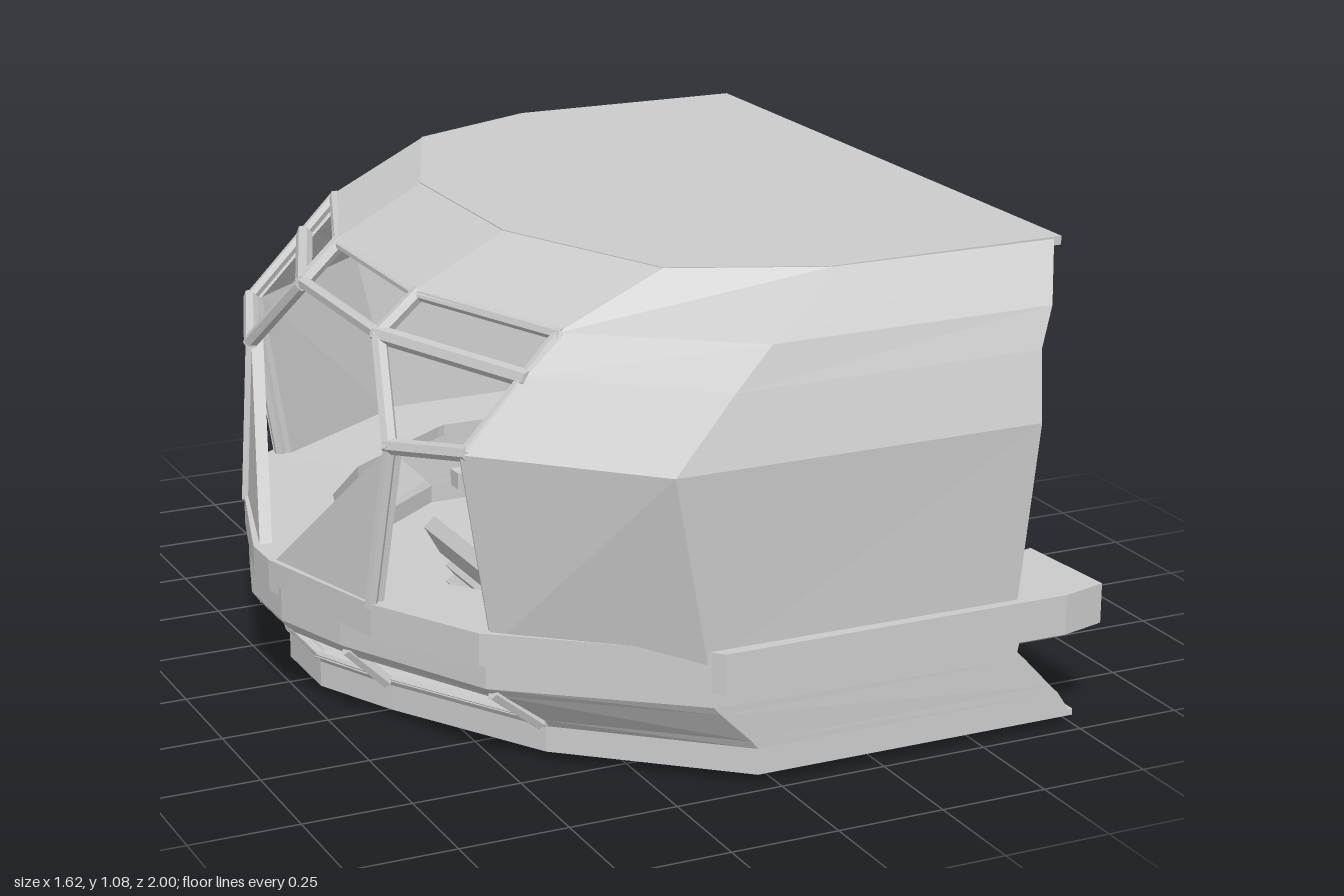
import * as THREE from 'three';

const grey = new THREE.MeshStandardMaterial({ color: 0xcccccc, flatShading: true, side: THREE.DoubleSide });

function add(parent, name, geometry) {
  const mesh = new THREE.Mesh(geometry, grey);
  mesh.name = name;
  parent.add(mesh);
  return mesh;
}

// Skin between cross-sections (arrays of [x, y, z]); each section is a closed loop unless closed = false
function skin(rows, { closed = true, caps = false, skip = () => false } = {}) {
  const pos = [];
  const tri = (a, b, c) => pos.push(...a, ...b, ...c);
  for (let r = 0; r < rows.length - 1; r++) {
    const n = rows[r].length;
    for (let i = 0; i < (closed ? n : n - 1); i++) {
      if (skip(r, i)) continue;
      const j = (i + 1) % n;
      const [a, b, c, d] = [rows[r][i], rows[r][j], rows[r + 1][j], rows[r + 1][i]];
      tri(a, b, c);
      tri(a, c, d);
    }
  }
  if (caps) {
    const first = rows[0], last = rows[rows.length - 1];
    for (let i = 1; i < first.length - 1; i++) {
      tri(first[0], first[i + 1], first[i]);
      tri(last[0], last[i], last[i + 1]);
    }
  }
  const g = new THREE.BufferGeometry();
  g.setAttribute('position', new THREE.Float32BufferAttribute(pos, 3));
  g.computeVertexNormals();
  return g;
}

// Half plan [x, z] from nose to rear, mirrored into a full path from the -z rear to the +z rear
const fullPath = (half) => [...half.map(([x, z]) => [x, -z]).reverse(), ...half];
const atY = (path, y) => path.map(([x, z]) => [x, y, z]);

// Horizontal plate from a half plan
function plate(half, y, depth) {
  const shape = new THREE.Shape(fullPath(half).map(([x, z]) => new THREE.Vector2(x, -z)));
  const g = new THREE.ExtrudeGeometry(shape, { depth, bevelEnabled: false });
  return g.rotateX(-Math.PI / 2).translate(0, y, 0);
}

// Straight window bar between two points
function bar(parent, name, a, b, radius = 0.018) {
  const p = new THREE.Vector3(...a), q = new THREE.Vector3(...b);
  const m = add(parent, name, new THREE.CylinderGeometry(radius, radius, p.distanceTo(q) + radius, 6));
  m.position.copy(p).lerp(q, 0.5);
  m.quaternion.setFromUnitVectors(new THREE.Vector3(0, 1, 0), q.sub(p).normalize());
}

// Block from rectangular sections [y, xMin, xMax, halfWidth]
const block = (sections) => skin(
  sections.map(([y, x0, x1, w]) => [[x0, y, w], [x1, y, w], [x1, y, -w], [x0, y, -w]]), { caps: true });

export function createModel() {
  const model = new THREE.Group();
  model.name = 'cockpit';

  // Side walls: front edge, corner and rear edge at each height, with an inner face
  const wall = [
    { y: 0.29, p: [[-0.53, 0.67], [-0.165, 0.97], [0.585, 0.975]] },
    { y: 0.73, p: [[-0.6, 0.67], [-0.26, 1.0], [0.62, 0.995]] },
    { y: 0.88, p: [[-0.455, 0.665], [-0.1, 0.955], [0.64, 0.95]] },
    { y: 0.965, p: [[-0.37, 0.66], [0.0, 0.925], [0.685, 0.915]] },
  ];
  const wallRows = (s) => wall.map(({ y, p: [a, b, c] }) => [
    a, b, c, [c[0] + 0.03, c[1] - 0.065], [b[0] + 0.05, b[1] - 0.07], [a[0] + 0.04, a[1] - 0.015],
  ].map(([x, z]) => [x, y, s * z]));

  // Brow: sloping band joining the walls to the roof
  const browLow = [[-0.53, 0.24], ...wall[3].p];
  const browTop = [[-0.31, 0.24], [-0.13, 0.67], [0.2, 0.81], [0.75, 0.81]];
  const browLowIn = [[-0.48, 0.235], [-0.33, 0.645], [0.05, 0.855], [0.715, 0.85]];
  const browTopIn = [[-0.28, 0.23], [-0.1, 0.65], [0.21, 0.77], [0.77, 0.77]];
  add(model, 'brow', skin([
    [...atY(fullPath(browLow), 0.965), ...atY(fullPath(browLowIn), 0.965).reverse()],
    [...atY(fullPath(browTop), 1.08), ...atY(fullPath(browTopIn), 1.065).reverse()],
  ]));
  add(model, 'browLowerEdge', skin([atY(fullPath(browLow), 0.965), atY(fullPath(browLowIn), 0.965)], { closed: false }));
  add(model, 'roof', plate([...browTop.slice(0, 3), [0.775, 0.8]], 1.062, 0.02));

  // Window frames and solid parts of each side
  for (const s of [1, -1]) {
    const side = new THREE.Group();
    side.name = s > 0 ? 'sideA' : 'sideB';
    model.add(side);
    add(side, 'sideWall', skin(wallRows(s)));
    const at = (x, y, z) => [x, y, s * z];
    const top = at(-0.515, 0.96, 0.24), mid = at(-0.605, 0.878, 0.235), node = at(-0.665, 0.69, 0.44);
    const wallTop = at(-0.365, 0.96, 0.655), wallMid = at(-0.445, 0.875, 0.66), wallNode = at(-0.585, 0.73, 0.665);
    const sill = at(-0.7, 0.32, 0.4), nose = at(-0.795, 0.32, 0.05);
    bar(side, 'browBar', top, wallTop, 0.014);
    bar(side, 'upperWindowBar', mid, wallMid, 0.02);
    bar(side, 'upperWindowPost', top, mid);
    bar(side, 'canopyBar', mid, node);
    bar(side, 'sideWindowBar', node, wallNode);
    bar(side, 'sideWindowPost', node, sill, 0.015);
    bar(side, 'wallEdgeUpper', wallTop, wallNode, 0.014);
    bar(side, 'wallEdgeLower', wallNode, at(-0.52, 0.32, 0.665), 0.014);
    // Triangular nose panel
    const inward = ([x, y, z]) => [x + 0.03, y, z];
    add(side, 'nosePanel', skin([[node, sill, nose], [node, sill, nose].map(inward)], { caps: true }));
  }
  bar(model, 'frontUpperBar', [-0.605, 0.878, -0.235], [-0.605, 0.878, 0.235], 0.016);
  bar(model, 'frontBrowBar', [-0.515, 0.96, -0.24], [-0.515, 0.96, 0.24], 0.014);

  // Belt and inner ledge: wedge section swept around the nose and out to both rear tips
  const beltOuter = [[-0.81, 0.05], [-0.79, 0.12], [-0.705, 0.41], [-0.56, 0.67], [-0.16, 0.975],
    [-0.14, 1.0], [0.7, 1.0], [0.81, 0.97]];
  const beltInner = [[-0.6, 0.04], [-0.58, 0.1], [-0.51, 0.33], [-0.38, 0.5], [-0.08, 0.71],
    [-0.06, 0.72], [0.68, 0.72], [0.8, 0.69]];
  const outer = fullPath(beltOuter), inner = fullPath(beltInner);
  add(model, 'beltAndLedge', skin(outer.map(([x, z], i) => {
    const [u, w] = inner[i];
    const low = x < -0.2 ? 0.25 : 0.232;
    return [[x, low, z], [x, 0.325, z], [u, 0.318, w], [u, 0.29, w]];
  }), { caps: true }));

  // Lower hull with a row of nose windows
  const high = [[-0.8, 0.1], [-0.735, 0.3], [-0.545, 0.67], [-0.15, 0.97]];
  const low = [[-0.71, 0.1], [-0.615, 0.3], [-0.4, 0.66], [-0.04, 0.965]];
  const mix = (t, rear) => [...high.map(([x, z], i) => [
    THREE.MathUtils.lerp(x, low[i][0], t), THREE.MathUtils.lerp(z, low[i][1], t)]), rear];
  const hull = [[0.27, 0, 0.615], [0.195, 0, 0.6], [0.175, 0.16, 0.62], [0.1, 0.85, 0.69], [0.08, 1, 0.71], [0.02, 1, 0.75]];
  const hullRows = (inset) => hull.map(([y, t, rear]) =>
    atY(fullPath(mix(t, [rear, 0.965]).map(([x, z], i) => [x + (i < 4 ? inset : 0), z - (i > 2 ? inset : 0)])), y));
  const nosePanels = (r, i) => r === 2 && i >= 2 && i <= 6;
  add(model, 'lowerHull', skin(hullRows(0), { closed: false, skip: nosePanels }));
  add(model, 'lowerHullLining', skin(hullRows(0.03), { closed: false, skip: nosePanels }));
  const upperRim = atY(fullPath(mix(0.16, [0.62, 0.965])), 0.178);
  const lowerRim = atY(fullPath(mix(0.87, [0.69, 0.965])), 0.095);
  for (let i = 2; i < 7; i++) {
    const shift = ([x, y, z]) => [x + 0.015, y, z];
    bar(model, 'lowerWindowTop', shift(upperRim[i]), shift(upperRim[i + 1]), 0.014);
    bar(model, 'lowerWindowSill', shift(lowerRim[i]), shift(lowerRim[i + 1]), 0.014);
  }
  for (const i of [2, 3, 6, 7]) bar(model, 'lowerWindowPost', upperRim[i], lowerRim[i], 0.016);

  // Floor and the pad beneath it
  add(model, 'floor', plate(mix(1, [0.75, 0.965]), 0.02, 0.015));
  add(model, 'underPad', new THREE.BoxGeometry(0.39, 0.022, 0.38)).position.set(-0.095, 0.011, 0);

  // Pilot seat on a ribbed base, facing the nose
  const seat = new THREE.Group();
  seat.name = 'seat';
  model.add(seat);
  const ribs = [];
  for (let i = 0; i < 9; i++) {
    const g = i % 2 ? 0.015 : 0;
    ribs.push([0.03 + i * 0.02, -0.28 + g, 0.105 - g, 0.19 - g]);
  }
  add(seat, 'ribbedBase', block(ribs));
  add(seat, 'cushion', block([[0.19, -0.3, 0.08, 0.175], [0.26, -0.34, 0.08, 0.175], [0.29, -0.32, 0.06, 0.16]]));
  add(seat, 'backrest', block([[0.19, -0.06, 0.1, 0.175], [0.4, -0.03, 0.13, 0.18], [0.45, -0.01, 0.13, 0.17],
    [0.55, 0.03, 0.12, 0.135], [0.57, 0.04, 0.11, 0.125]]));
  add(seat, 'headrestStem', new THREE.BoxGeometry(0.03, 0.04, 0.12)).position.set(0.075, 0.58, 0);
  add(seat, 'headrest', block([[0.58, 0.04, 0.11, 0.08], [0.6, 0.03, 0.12, 0.1], [0.65, 0.03, 0.12, 0.1], [0.67, 0.04, 0.11, 0.08]]));
  for (const s of [1, -1])
    add(seat, 'armrest', new THREE.BoxGeometry(0.3, 0.04, 0.045)).position.set(-0.1, 0.36, s * 0.2);

  return model;
}
